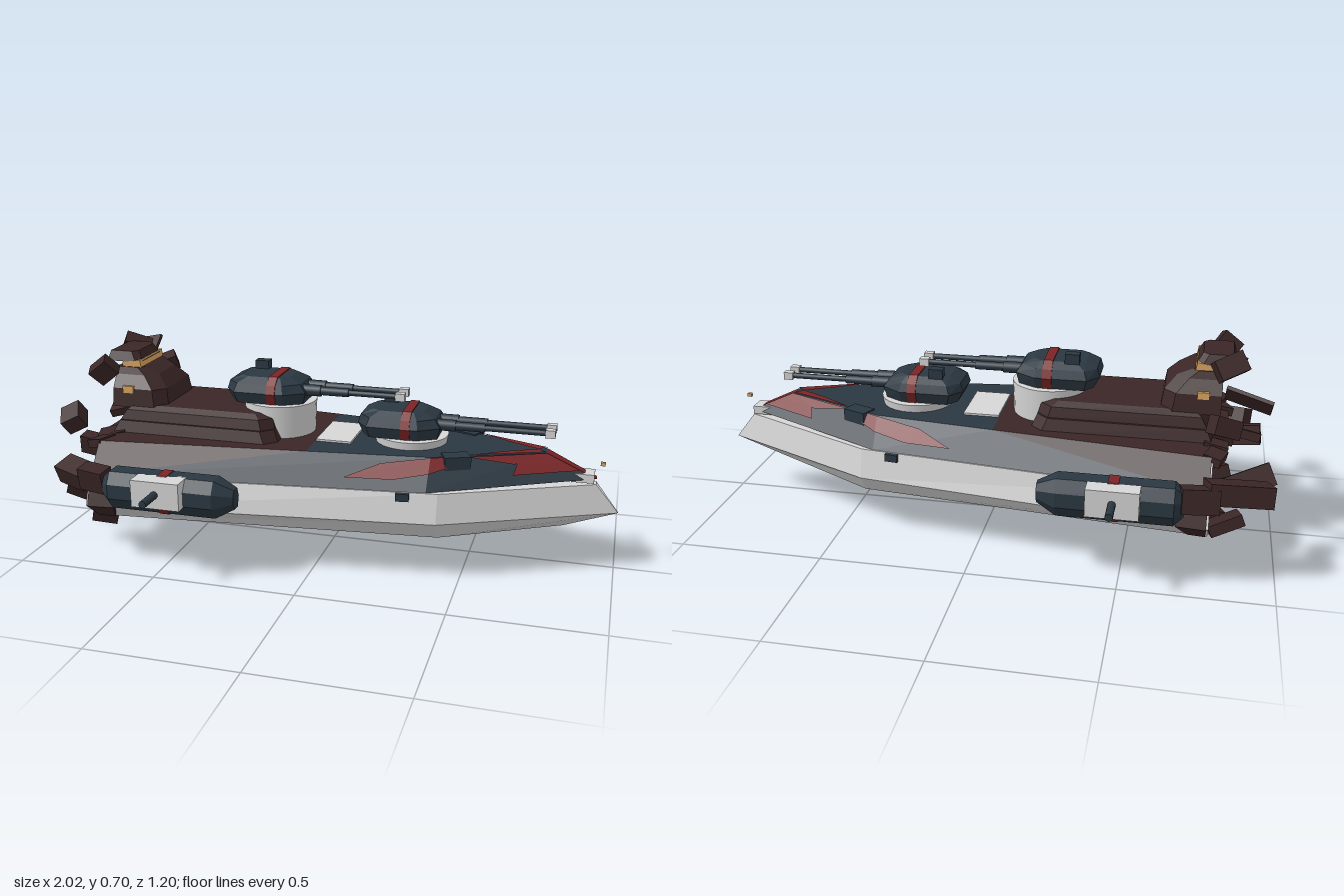
import * as THREE from 'three';

const paint = (name, color) => Object.assign(new THREE.MeshStandardMaterial({ color }), { name });

// Flat-faced mesh from a list of triangles.
function triMesh(name, mat, tris) {
  const g = new THREE.BufferGeometry();
  g.setAttribute('position', new THREE.Float32BufferAttribute(tris.flat(2), 3));
  g.computeVertexNormals();
  const m = new THREE.Mesh(g, mat);
  m.name = name;
  return m;
}

const fan = (p) => p.slice(2).map((c, i) => [p[0], p[i + 1], c]);

// Closed solid through rings of equal point count, always wound outward.
function loft(name, mat, rings) {
  const tris = [...fan([...rings[0]].reverse()), ...fan(rings.at(-1))];
  const n = rings[0].length;
  for (let r = 0; r < rings.length - 1; r++) {
    for (let i = 0; i < n; i++) {
      const j = (i + 1) % n, a = rings[r], b = rings[r + 1];
      tris.push([a[i], a[j], b[j]], [a[i], b[j], b[i]]);
    }
  }
  const V = (p) => new THREE.Vector3(...p);
  const mid = V(rings[0][0]);
  const volume = tris.reduce((s, [a, b, c]) =>
    s + V(a).sub(mid).dot(V(b).sub(mid).cross(V(c).sub(mid))), 0);
  return triMesh(name, mat, volume < 0 ? tris.map(([a, b, c]) => [a, c, b]) : tris);
}

// Single upward-facing polygon.
function face(name, mat, pts) {
  const [a, b, c] = pts.map((p) => new THREE.Vector3(...p));
  const up = b.sub(a).cross(c.sub(a)).y > 0;
  return triMesh(name, mat, fan(up ? pts : [...pts].reverse()));
}

function box(name, mat, pos, size, rot = [0, 0, 0]) {
  const m = new THREE.Mesh(new THREE.BoxGeometry(...size), mat);
  m.name = name;
  m.position.set(...pos);
  m.rotation.set(...rot);
  return m;
}

function rod(name, mat, pos, r, len, axis) {
  const m = new THREE.Mesh(new THREE.CylinderGeometry(r, r, len, 10), mat);
  m.name = name;
  m.position.set(...pos);
  if (axis === 'x') m.rotation.z = -Math.PI / 2;
  else m.rotation.x = Math.PI / 2;
  return m;
}

export function createModel() {
  const ship = new THREE.Group();
  ship.name = 'warship';
  const white = paint('hull white', 0xd6d6d6), navy = paint('navy armour', 0x2b3842);
  const dark = paint('burnt maroon', 0x3b2626), red = paint('stripe red', 0x7c2426);
  const gold = paint('window gold', 0xdca763);
  const add = (...m) => ship.add(...m);

  // Hull: bottom, chine and top edges carried from stern to bow
  const section = (x, b, c, t) => [[x[0], 0.145, -b], [x[0], 0.145, b], [x[1], 0.21, c],
    [x[2], 0.31, t], [x[2], 0.31, -t], [x[1], 0.21, -c]];
  add(loft('hull', white, [section([-0.775, -0.775, -0.775], 0.345, 0.426, 0.39),
    section([0.42, 0.42, 0.42], 0.225, 0.275, 0.25), section([0.82, 1, 0.92], 0.002, 0.002, 0.015)]));
  add(loft('scorchedSternBand', dark, [section([-0.768, -0.768, -0.768], 0.35, 0.432, 0.396),
    section([-0.71, -0.67, -0.7], 0.344, 0.421, 0.388)]));
  add(loft('sternBulkhead', white, [-0.775, -0.75].map((x) =>
    [[x, 0.3, -0.37], [x, 0.3, 0.37], [x, 0.405, 0.3], [x, 0.405, -0.3]])));

  // Deck: a sloped rim and a flat top, maroon aft and navy forward
  const B = [[-0.77, 0.31, 0.385], [0.38, 0.31, 0.25], [0.92, 0.33, 0.015]];
  const T = [[-0.77, 0.41, 0.31], [0.38, 0.41, 0.176], [0.75, 0.41, 0.025]];
  const M = [-0.04, 0.41, 0.225];
  const mix = (a, b, t) => a.map((v, i) => v + (b[i] - v) * t);
  const onRim = ([u, v], s) => {
    const k = u > 1 ? 1 : 0;
    const p = mix(mix(B[k], B[k + 1], u - k), mix(T[k], T[k + 1], u - k), v);
    return [p[0] + 0.001, p[1] + 0.004, (p[2] + 0.004) * s];
  };
  const flip = ([x, y, z]) => [x, y, -z];
  add(face('aftDeck', dark, [T[0], M, flip(M), flip(T[0])]));
  add(face('foreDeck', navy, [M, T[1], T[2], flip(T[2]), flip(T[1]), flip(M)]));
  add(face('bowSlope', red, [T[2], B[2], flip(B[2]), flip(T[2])]));
  for (const s of [1, -1]) {
    const S = (pts) => pts.map(([x, y, z]) => [x, y, z * s]);
    add(face('aftRim', dark, S([B[0], M, T[0]])));
    add(face('sideRim', navy, S([B[0], B[1], T[1], M])));
    add(face('bowRim', navy, S([B[1], B[2], T[2], T[1]])));
    const stripes = [
      [[0.757, 0.3], [0.9, 0.3], [1, 0.5], [1, 0.96], [0.86, 0.75]],
      [[1, 0.5], [1.14, 0.65], [1.14, 0.97], [1, 0.96]],
      [[1.3, 0.95], [1.62, 0.65], [1.99, 0.65], [1.99, 0.97]],
      [[1.55, 0.3], [1.99, 0.3], [1.99, 0.66], [1.65, 0.66]]];
    for (const st of stripes) add(face('rimStripe', red, st.map((p) => onRim(p, s))));
    add(face('bowStripe', red, S([[0.5, 0.414, 0.127], [0.75, 0.414, 0.026], [0.72, 0.414, 0], [0.62, 0.414, 0.05]])));
    add(box('deckLocker', navy, [0.46, 0.385, 0.14 * s], [0.09, 0.06, 0.06], [0, 0.4 * s, 0]));
    add(box('sideSensor', navy, [0.305, 0.296, 0.265 * s], [0.045, 0.026, 0.03], [0, 0.12 * s, 0]));
  }
  add(box('deckPad', white, [0.025, 0.413, 0], [0.125, 0.008, 0.22]));
  add(box('bowCap', white, [0.875, 0.333, 0], [0.075, 0.03, 0.065]));
  add(box('bowLamp', gold, [0.937, 0.38, 0], [0.016, 0.012, 0.012]));

  // Stern superstructure and broken bridge tower
  const slab = (y, x0, x1, z, cut = 0.04) => [[x0, y, z], [x1 - cut, y, z], [x1, y, z - cut],
    [x1, y, cut - z], [x1 - cut, y, -z], [x0, y, -z]];
  add(loft('lowerHouse', dark, [slab(0.405, -0.77, -0.16, 0.2), slab(0.45, -0.75, -0.18, 0.185)]));
  add(loft('upperHouse', dark, [slab(0.45, -0.75, -0.18, 0.175), slab(0.485, -0.73, -0.19, 0.165),
    slab(0.5, -0.71, -0.21, 0.14)]));
  add(loft('bridgeTower', dark, [slab(0.49, -0.79, -0.59, 0.15), slab(0.555, -0.79, -0.6, 0.14),
    slab(0.6, -0.79, -0.64, 0.11), slab(0.625, -0.79, -0.69, 0.1, 0.02)]));
  add(box('bridgeWindow', gold, [-0.735, 0.632, 0], [0.07, 0.028, 0.19], [0, 0, 0.15]));
  add(loft('bridgeRoof', dark, [slab(0.643, -0.83, -0.7, 0.095, 0.02), slab(0.678, -0.82, -0.72, 0.08, 0.02)]));
  for (const s of [1, -1]) add(box('towerLight', gold, [-0.73, 0.553, 0.141 * s], [0.04, 0.025, 0.012]));

  // Twin-gun turrets
  const plan = (y, x0, x1, x2, x3, za, zb, zc) => [[x0, y, za], [x1, y, zb], [x2, y, zb], [x3, y, zc],
    [x3, y, -zc], [x2, y, -zb], [x1, y, -zb], [x0, y, -za]];
  function turret(name, x, y, baseHeight, reach) {
    const t = new THREE.Group();
    t.name = name;
    t.position.set(x, y, 0);
    const base = new THREE.Mesh(new THREE.CylinderGeometry(0.13, 0.125, baseHeight, 28), white);
    base.name = 'turretRing';
    base.position.y = -0.045 - baseHeight / 2;
    t.add(base, loft('turretShell', navy, [plan(-0.045, -0.16, -0.13, 0.035, 0.1, 0.055, 0.098, 0.06),
      plan(-0.005, -0.18, -0.14, 0.04, 0.11, 0.06, 0.112, 0.065),
      plan(0.025, -0.17, -0.13, 0.035, 0.09, 0.058, 0.1, 0.06),
      plan(0.045, -0.13, -0.1, 0.02, 0.05, 0.05, 0.07, 0.045)]));
    t.add(loft('turretBand', red, [-0.02, 0.012].map((bx) => [[bx, -0.047, 0.1], [bx, -0.005, 0.116],
      [bx, 0.025, 0.104], [bx, 0.049, 0.073], [bx, 0.049, -0.073], [bx, 0.025, -0.104],
      [bx, -0.005, -0.116], [bx, -0.047, -0.1]])));
    t.add(box('rangefinder', navy, [-0.085, 0.055, -0.06], [0.05, 0.04, 0.035]));
    for (const z of [0.032, -0.032]) {
      t.add(rod('gunSleeve', navy, [0.125, 0, z], 0.02, 0.07, 'x'));
      t.add(rod('gunJacket', navy, [0.2, 0, z], 0.015, 0.12, 'x'));
      t.add(rod('gunBarrel', navy, [reach / 2 + 0.08, 0, z], 0.01, reach - 0.16, 'x'));
      t.add(box('muzzle', white, [reach - 0.016, 0, z], [0.033, 0.027, 0.027]));
    }
    return t;
  }
  add(turret('aftTurret', -0.2, 0.57, 0.12, 0.46), turret('foreTurret', 0.28, 0.482, 0.03, 0.495));

  // Side gun pods
  const podSection = [[0.29, 0.365], [0.355, 0.39], [0.355, 0.45], [0.315, 0.475], [0.265, 0.475], [0.22, 0.44], [0.22, 0.39]];
  for (const s of [1, -1]) {
    const pod = new THREE.Group();
    pod.name = s > 0 ? 'leftPod' : 'rightPod';
    const ring = (x, k) => podSection.map(([y, z]) => [x, 0.29 + (y - 0.29) * k, s * (0.41 + (z - 0.41) * k)]);
    pod.add(loft('podShell', navy, [ring(-0.695, 0.6), ring(-0.665, 1), ring(-0.29, 1), ring(-0.225, 0.5)]));
    pod.add(loft('podStrap', red, [ring(-0.49, 1.04), ring(-0.455, 1.04)]));
    pod.add(box('podMount', white, [-0.475, 0.308, 0.465 * s], [0.17, 0.094, 0.09]));
    pod.add(rod('podBarrel', navy, [-0.475, 0.311, 0.55 * s], 0.013, 0.1, 'z'));
    add(pod);
  }

  // Torn plates around the stern
  const wreck = [
    [[-0.86, 0.32, -0.37], [0.21, 0.07, 0.09], [0.2, 0.3, 0.05]],
    [[-0.89, 0.125, 0.12], [0.24, 0.085, 0.025], [0.4, 0.06, -0.42]],
    [[-0.87, 0.6, -0.28], [0.15, 0.012, 0.11], [0.65, 0, 0.3]],
    [[-0.85, 0.32, 0.12], [0.18, 0.07, 0.05], [0.2, -0.1, -0.1]],
    [[-0.83, 0.505, 0.36], [0.07, 0.06, 0.08], [0.5, 0.4, 0.3]],
    [[-0.8, 0.53, -0.345], [0.09, 0.06, 0.06], [0.3, 0.5, 0.2]],
    [[-0.8, 0.63, 0.18], [0.08, 0.07, 0.05], [0.4, 0.3, 0.6]],
    [[-0.81, 0.65, -0.11], [0.1, 0.07, 0.06], [0.5, 0.2, -0.5]],
    [[-0.79, 0.055, -0.035], [0.06, 0.08, 0.07], [0.1, 0.4, 0.2]],
    [[-0.8, 0.11, 0.24], [0.09, 0.05, 0.06], [0.3, 0.3, -0.3]],
    [[-0.83, 0.13, -0.21], [0.12, 0.04, 0.08], [0.2, 0.2, -0.4]],
    [[-0.84, 0.42, -0.1], [0.16, 0.03, 0.08], [0.3, 0.2, 0.2]],
    [[-0.74, 0.31, -0.42], [0.12, 0.08, 0.07], [0.2, 0.2, 0]],
    [[-0.74, 0.31, 0.41], [0.1, 0.08, 0.06], [0.2, -0.2, 0]],
    [[-0.84, 0.3, 0.355], [0.13, 0.07, 0.08], [0.4, -0.4, 0.1]]];
  for (const w of wreck) add(box('wreckPlate', dark, ...w));
  for (let i = 0; i < 7; i++) {
    add(box('deckShard', dark, [-0.78, 0.395, -0.27 + i * 0.09], [0.06 + 0.02 * (i % 3), 0.03, 0.08],
      [0.1 * (i % 2), 0.3 * ((i % 3) - 1), 0.2]));
  }
  for (const [y, z] of [[0.36, 0.1], [0.3, -0.06]]) add(box('sternLamp', red, [-0.79, y, z], [0.03, 0.03, 0.03]));
  return ship;
}
